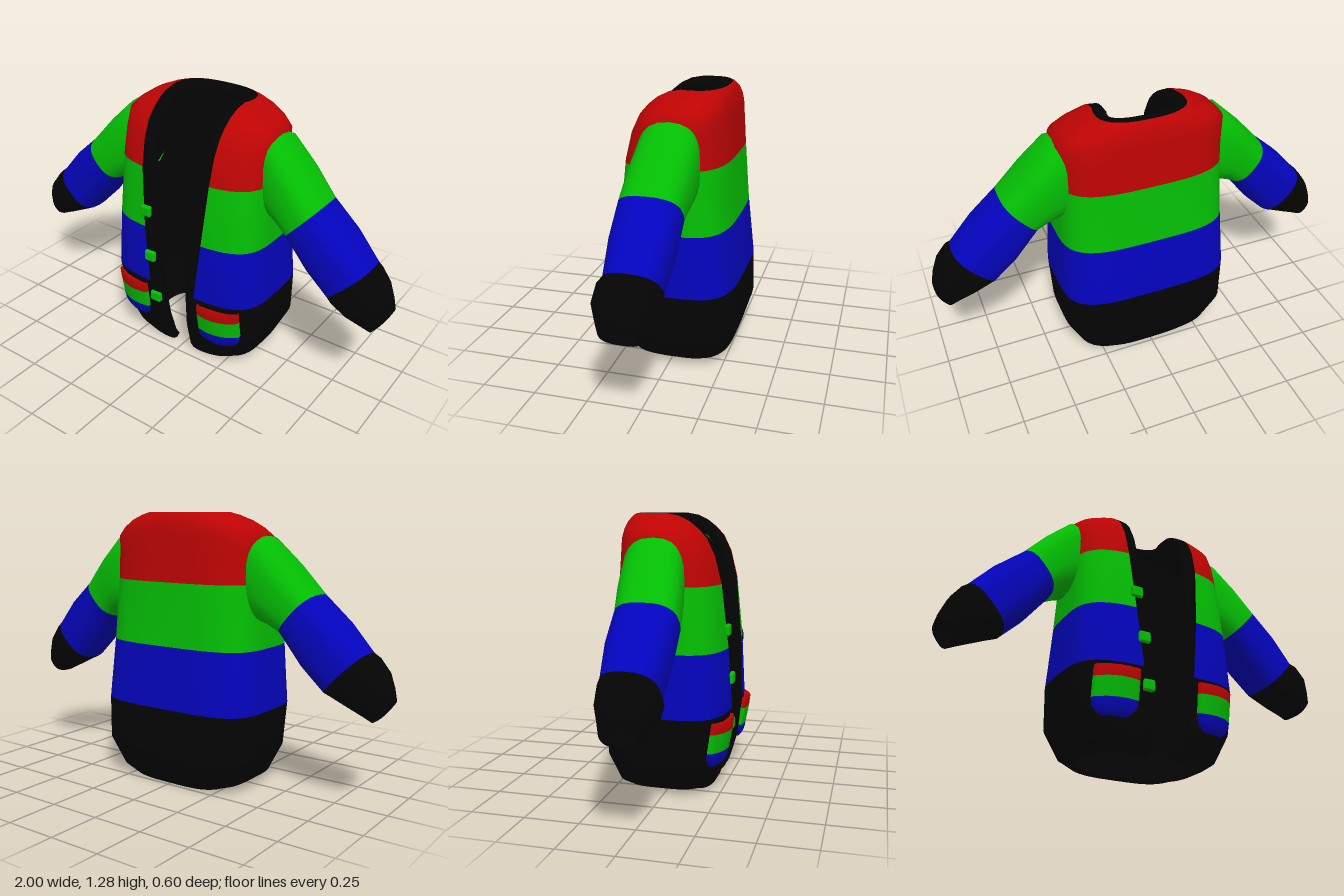
import * as THREE from 'three';
import { RoundedBoxGeometry } from 'three/addons/geometries/RoundedBoxGeometry.js';

const material = (name, color) => {
  const m = new THREE.MeshStandardMaterial({ color, side: THREE.DoubleSide });
  m.name = name;
  return m;
};

const V = (x, y, z) => new THREE.Vector3(x, y, z);
const spow = (v, p) => Math.sign(v) * Math.abs(v) ** p;
const lerp = THREE.MathUtils.lerp;

// Skin a list of equal-length rings; bands[i] is the material slot between ring i and i+1
function loft(rings, closed, bands, flip = false) {
  const n = rings[0].length, pos = [], idx = [];
  const g = new THREE.BufferGeometry();
  rings.forEach(r => r.forEach(p => pos.push(p.x, p.y, p.z)));
  const cols = closed ? n : n - 1;
  for (let i = 0; i < rings.length - 1; i++) {
    g.addGroup(idx.length, cols * 6, bands ? bands[i] : 0);
    for (let j = 0; j < cols; j++) {
      const a = i * n + j, b = i * n + (j + 1) % n, c = a + n, d = b + n;
      if (flip) idx.push(a, c, b, b, c, d);
      else idx.push(a, b, c, b, d, c);
    }
  }
  g.setAttribute('position', new THREE.Float32BufferAttribute(pos, 3));
  g.setIndex(idx);
  g.computeVertexNormals();
  return g;
}

// Body sections: height, half width, front z, back z, half width of the opening, roundness
const BODY = [
  [0.006, 0.31, 0.194, -0.23, 0.11, 0.58],
  [0.05, 0.35, 0.218, -0.262, 0.112, 0.55],
  [0.18, 0.412, 0.253, -0.302, 0.118, 0.51],
  [0.385, 0.42, 0.278, -0.295, 0.13, 0.5],
  [0.675, 0.406, 0.266, -0.266, 0.162, 0.54],
  [0.97, 0.394, 0.24, -0.247, 0.187, 0.6],
  [1.1, 0.396, 0.21, -0.24, 0.193, 0.65],
  [1.175, 0.4, 0.175, -0.236, 0.196, 0.7],
  [1.215, 0.362, 0.143, -0.232, 0.197, 0.72],
  [1.25, 0.31, 0.108, -0.224, 0.198, 0.76],
  [1.275, 0.25, 0.078, -0.212, 0.2, 0.8],
  [1.286, 0.21, 0.05, -0.198, 0.2, 0.8],
];
const BANDS = [0, 0, 0, 1, 2, 3, 3, 3, 3, 3, 3];
const STEPS = 48;

const startAngle = ([, w, , , e, pow]) => Math.asin((e / w) ** (1 / pow));

// Horizontal section from the left front edge round the back to the right front edge
function bodyRing(s, inset = 0) {
  const [y, w, zf, zb, , pow] = s;
  const a0 = startAngle(s);
  const cz = (zf + zb) / 2, d = (zf - zb) / 2;
  return Array.from({ length: STEPS + 1 }, (_, i) => {
    const a = lerp(a0, 2 * Math.PI - a0, i / STEPS);
    const z = cz + (d - inset) * spow(Math.cos(a), pow);
    const lift = y < 0.03 ? 0.018 * Math.min(1, 4 * (1 - Math.abs(z - cz) / d)) : 0;
    return V((w - inset) * spow(Math.sin(a), pow), y + lift, z);
  });
}

// Surface z of the body front at x, y
function frontZ(x, y) {
  let i = 0;
  while (BODY[i + 1][0] < y) i++;
  const t = (y - BODY[i][0]) / (BODY[i + 1][0] - BODY[i][0]);
  const [w, zf, zb, pow] = [1, 2, 3, 5].map(k => lerp(BODY[i][k], BODY[i + 1][k], t));
  const q = 1 - Math.abs(x / w) ** (2 / pow);
  return (zf + zb) / 2 + (zf - zb) / 2 * Math.max(0, q) ** (pow / 2);
}

// Knitted edging that follows the opening up, round the neck and down again
function trimGeometry(rings) {
  const last = rings.length - 1, path = [], a0 = startAngle(BODY[last]);
  for (let i = 0; i < last; i++) path.push([rings[i][0], V(-1, 0, 0)]);
  rings[last].forEach((p, i) => {
    const a = lerp(a0, 2 * Math.PI - a0, i / STEPS);
    path.push([p, V(-Math.sin(a), 0, -Math.cos(a))]);
  });
  for (let i = last - 1; i >= 0; i--) path.push([rings[i][STEPS], V(1, 0, 0)]);
  const section = [[0, -0.04], [0, -0.001], [0.02, -0.001], [0.048, -0.004],
    [0.061, -0.018], [0.058, -0.042], [0.025, -0.05]];
  const out = path.map(([p, inward], i) => {
    const t = path[Math.min(i + 1, path.length - 1)][0].clone().sub(path[Math.max(i - 1, 0)][0]);
    const up = t.cross(inward).normalize();
    return section.map(([u, v]) => p.clone().addScaledVector(inward, u).addScaledVector(up, v));
  });
  const cap = r => {
    const c = r.reduce((s, p) => s.add(p), V(0, 0, 0)).divideScalar(r.length);
    return r.map(() => c.clone());
  };
  return loft([cap(out[0]), ...out, cap(out[out.length - 1])], true, null, true);
}

// Sleeve sections: top x, y, bottom x, y, front z, back z
const SLEEVE = [
  [0.35, 1.185, 0.35, 0.82, 0.095, -0.15],
  [0.41, 1.182, 0.4, 0.8, 0.118, -0.165],
  [0.53, 1.068, 0.44, 0.785, 0.13, -0.155],
  [0.65, 0.934, 0.49, 0.755, 0.14, -0.138],
  [0.78, 0.822, 0.6, 0.615, 0.138, -0.136],
  [0.89, 0.7, 0.705, 0.51, 0.125, -0.118],
  [0.915, 0.678, 0.735, 0.498, 0.142, -0.12],
  [0.958, 0.618, 0.815, 0.462, 0.145, -0.112],
  [0.985, 0.555, 0.885, 0.428, 0.115, -0.086],
  [0.998, 0.505, 0.925, 0.408, 0.095, -0.072],
  [0.985, 0.5, 0.927, 0.425, 0.075, -0.055],
  [0.92, 0.555, 0.87, 0.49, 0.06, -0.045],
  [0.9, 0.52, 0.9, 0.52, 0.005, 0.005],
];
const SLEEVE_BANDS = [2, 2, 2, 1, 1, 0, 0, 0, 0, 0, 0, 0];

function sleeveGeometry(side) {
  const rings = SLEEVE.map(([tx, ty, bx, by, zf, zb]) =>
    Array.from({ length: 24 }, (_, i) => {
      const a = i / 24 * Math.PI * 2;
      const k = (1 + spow(Math.cos(a), 0.75)) / 2;
      return V(side * lerp(bx, tx, k), lerp(by, ty, k),
        (zf + zb) / 2 + (zf - zb) / 2 * spow(Math.sin(a), 0.75));
    }));
  return loft(rings, true, SLEEVE_BANDS, side < 0);
}

// Pocket rows from top to bottom: height, half width, stand-off from the body
const POCKET = [
  [0.35, 0.095, -0.005], [0.365, 0.098, 0.022], [0.358, 0.1, 0.035], [0.31, 0.1, 0.035],
  [0.22, 0.1, 0.03], [0.185, 0.095, 0.028], [0.16, 0.075, 0.022], [0.146, 0.05, 0.015], [0.146, 0.05, -0.005],
];
const POCKET_BANDS = [3, 3, 3, 2, 1, 1, 1, 1];

function pocketGeometry(cx) {
  const us = [-1, -1, -0.9, -0.5, 0, 0.5, 0.9, 1, 1];
  const rings = POCKET.map(([y, w, off]) => us.map((u, i) => {
    const x = cx + u * w;
    const edge = i === 0 || i === us.length - 1;
    return V(x, y, frontZ(x, y) + (edge ? -0.003 : off * (1 - 0.5 * u * u)));
  }));
  return loft(rings, false, POCKET_BANDS, true);
}

export function createModel() {
  const root = new THREE.Group();
  root.name = 'cardigan';
  const black = material('black wool', 0x040404);
  const blue = material('blue wool', 0x0404be);
  const green = material('green wool', 0x04be04);
  const red = material('red wool', 0xbe0404);
  const wool = [black, blue, green, red];
  const add = (name, geometry, mat) => {
    const mesh = new THREE.Mesh(geometry, mat);
    mesh.name = name;
    root.add(mesh);
    return mesh;
  };

  // Striped body shell
  const rings = BODY.map(s => bodyRing(s));
  add('body', loft(rings, false, BANDS), wool);

  // Dark lining, joined to the shell along the hem
  const inner = BODY.map(s => bodyRing(s, 0.03));
  add('lining', loft([rings[0], ...inner], false, null, true), black);

  add('frontAndNeckTrim', trimGeometry(rings), black);

  // Sleeves and pockets, mirrored
  for (const [side, label] of [[1, 'left'], [-1, 'right']]) {
    add(label + 'Sleeve', sleeveGeometry(side), wool);
    add(label + 'Pocket', pocketGeometry(side * 0.254), wool);
  }

  // Buttons down the right edge
  [[-0.157, 0.757], [-0.127, 0.528], [-0.103, 0.303]].forEach(([x, y], i) => {
    const b = add('button' + (i + 1), new RoundedBoxGeometry(0.058, 0.054, 0.034, 2, 0.01), green);
    b.position.set(x, y, frontZ(x, y) - 0.002);
  });

  return root;
}
